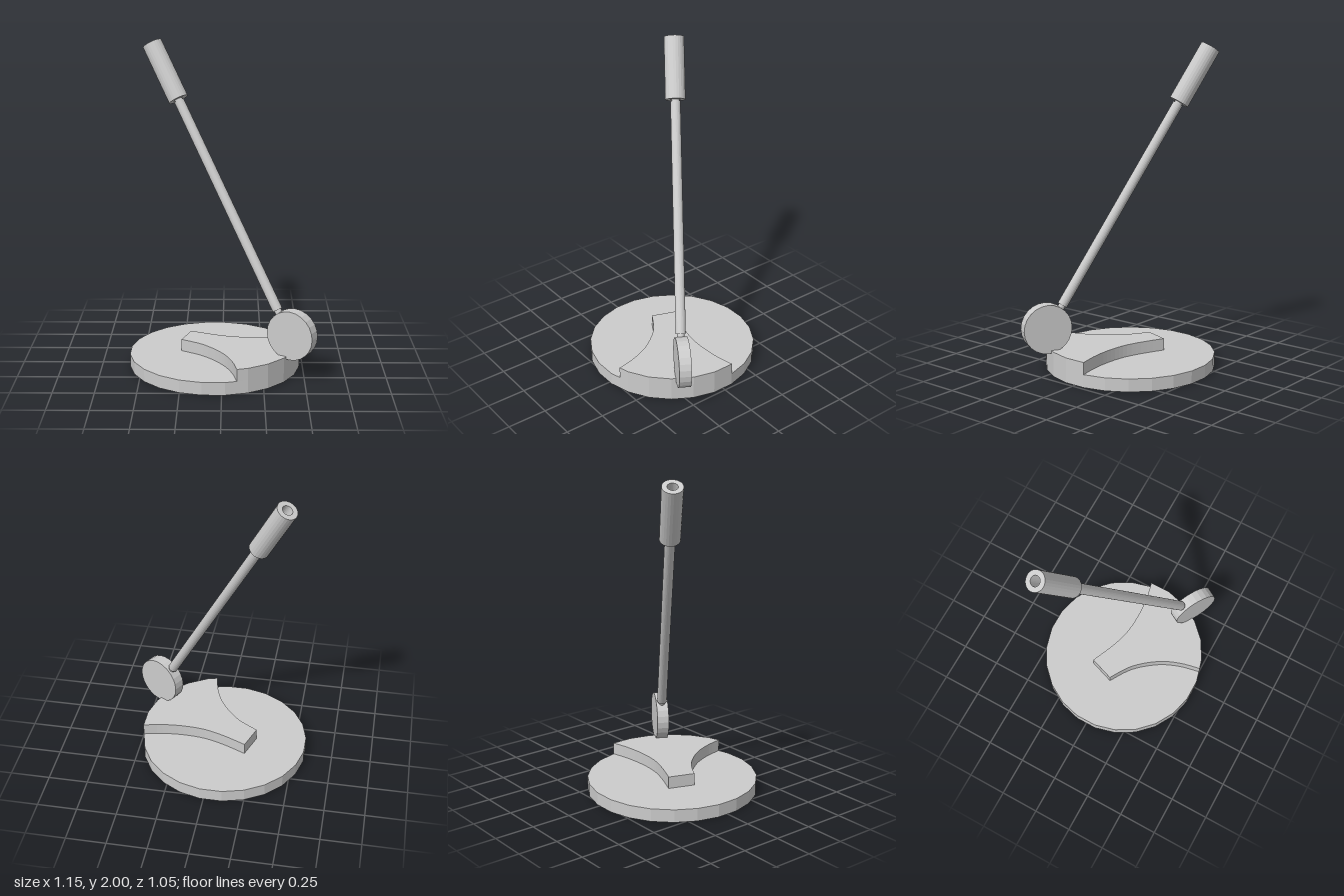
import * as THREE from 'three';

const SIDES = 24;
const UP = new THREE.Vector3(0, 1, 0);
const material = new THREE.MeshStandardMaterial({ color: 0xcccccc, flatShading: true });

function part(name, geometry) {
  const mesh = new THREE.Mesh(geometry, material);
  mesh.name = name;
  return mesh;
}

// Turns a geometry that stands along y so that it runs along dir, then moves it
function aim(geometry, dir, position) {
  geometry.applyQuaternion(new THREE.Quaternion().setFromUnitVectors(UP, dir));
  return geometry.translate(position.x, position.y, position.z);
}

// Cylinder between two points
function rod(a, b, radius, sides = SIDES) {
  const dir = b.clone().sub(a);
  const geometry = new THREE.CylinderGeometry(radius, radius, dir.length(), sides);
  return aim(geometry, dir.normalize(), a.clone().add(b).multiplyScalar(0.5));
}

export function createModel() {
  const model = new THREE.Group();
  const baseX = -0.0475, baseR = 0.53, baseH = 0.08, stepTop = 0.155;

  // Round base plate, with flats facing the axes
  const plate = new THREE.CylinderGeometry(baseR, baseR, baseH, SIDES, 1, false, Math.PI / SIDES);
  model.add(part('basePlate', plate.translate(baseX, baseH / 2, 0)));

  // Raised step: two concave sides, a short inner end and the rim of the plate
  const curve = (points) => new THREE.SplineCurve(points.map(([x, z]) => new THREE.Vector2(x, -z))).getPoints(20);
  const backEdge = curve([[-0.2, -0.15], [-0.05, -0.085], [0.08, -0.046], [0.22, -0.035], [0.36, -0.045], [0.478, -0.07]]);
  const rim = [];
  for (let i = 0; i < 6; i++) {
    const a = THREE.MathUtils.degToRad(-7.5 + 15 * i);
    rim.push(new THREE.Vector2(baseX + baseR * Math.cos(a), -baseR * Math.sin(a)));
  }
  const frontEdge = curve([[0.09, 0.508], [0.06, 0.375], [0, 0.24], [-0.115, 0.1], [-0.255, 0.008]]);
  const outline = new THREE.Shape([...backEdge, ...rim.slice(1), ...frontEdge]);
  const step = new THREE.ExtrudeGeometry(outline, { depth: stepTop - baseH, bevelEnabled: false });
  model.add(part('raisedStep', step.rotateX(-Math.PI / 2).translate(0, baseH, 0)));

  // Upright disc at the rim
  const hub = new THREE.Vector3(0.4225, 0.288, 0.275);
  const disc = new THREE.CylinderGeometry(0.152, 0.152, 0.075, SIDES);
  model.add(part('pivotDisc', aim(disc, new THREE.Vector3(0.5, 0, -0.866).normalize(), hub)));

  // Leaning shaft with a thinner pin running into the disc
  const foot = new THREE.Vector3(0.335, 0.425, 0.222);
  const tip = new THREE.Vector3(-0.435, 1.968, -0.312);
  const axis = tip.clone().sub(foot);
  const length = axis.length();
  axis.normalize();
  const along = (d) => foot.clone().addScaledVector(axis, d);
  const gripStart = length - 0.385;
  model.add(part('shaft', rod(along(0), along(gripStart - 0.01), 0.031)));
  model.add(part('lowerPin', rod(along(-0.08), along(0.02), 0.022)));
  model.add(part('upperPin', rod(along(gripStart - 0.03), along(gripStart + 0.05), 0.025)));

  // Hollow grip
  const profile = [[0.031, 0], [0.062, 0], [0.062, 0.385], [0.031, 0.385], [0.031, 0]];
  const grip = new THREE.LatheGeometry(profile.map(([r, y]) => new THREE.Vector2(r, y)), SIDES);
  model.add(part('grip', aim(grip, axis, along(gripStart))));

  return model;
}
